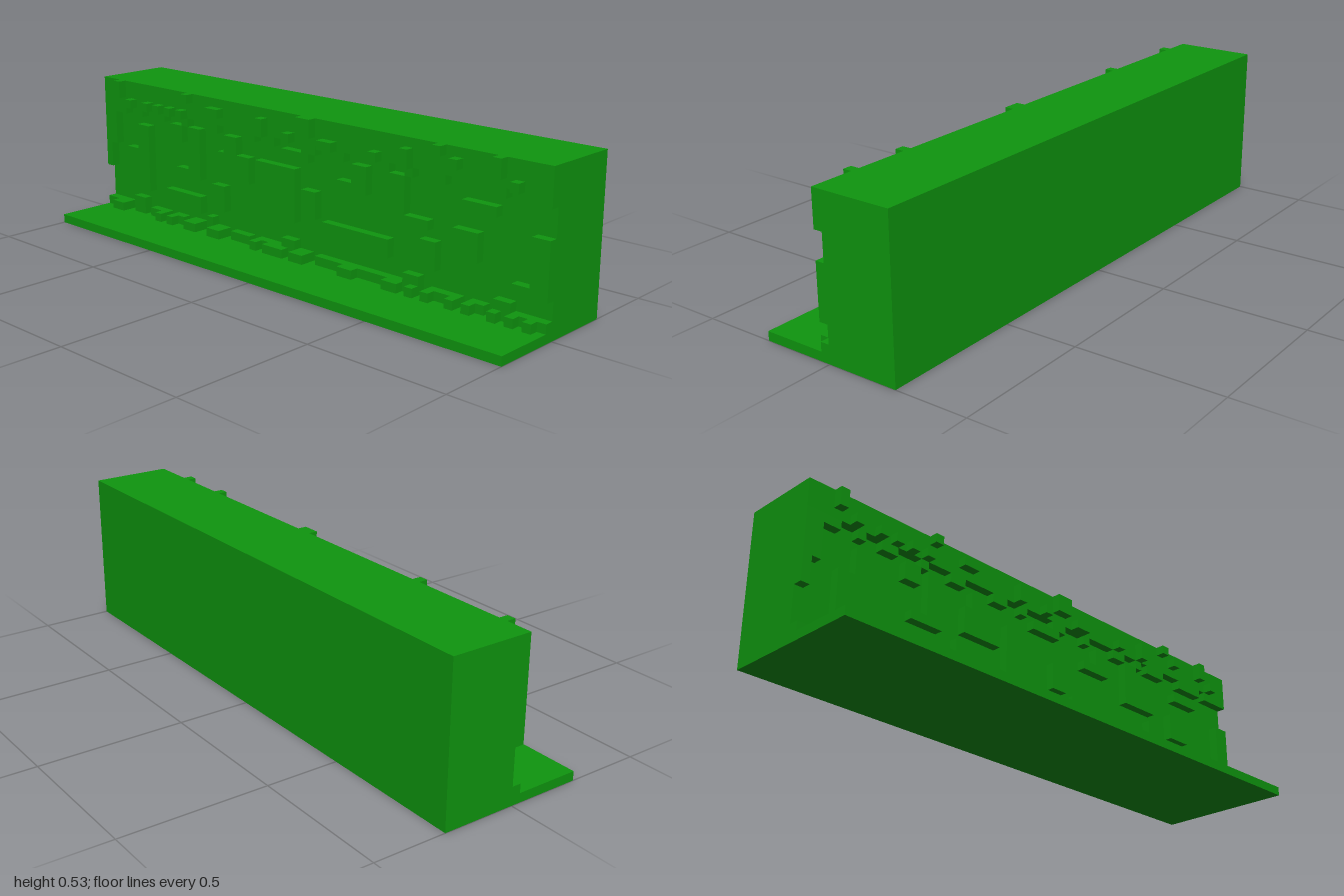
import * as THREE from 'three';

const U = 1 / 32; // one block of the grid: 64 wide, 17 high, 16 deep

export function createModel() {
  const model = new THREE.Group();
  const green = new THREE.MeshStandardMaterial({ color: 0x0f960f });
  green.name = 'leaf green';

  // box between two grid corners; x counts from the right end, z from the middle
  const block = (parent, name, x0, y0, z0, x1, y1, z1) => {
    const mesh = new THREE.Mesh(
      new THREE.BoxGeometry((x1 - x0) * U, (y1 - y0) * U, (z1 - z0) * U), green);
    mesh.position.set(((x0 + x1) / 2 - 32) * U, (y0 + y1) / 2 * U, (z0 + z1) / 2 * U);
    mesh.name = name;
    parent.add(mesh);
  };
  // raised plates on the front, each [x0, y0, x1, y1]
  const relief = (name, z0, z1, rects) => {
    const group = new THREE.Group();
    group.name = name;
    for (const [x0, y0, x1, y1] of rects) block(group, name + 'Block', x0, y0, z0, x1, y1, z1);
    model.add(group);
  };

  // main masses
  block(model, 'groundSlab', 0, 0, -8, 64, 1, 8);
  block(model, 'wall', 0, 1, -8, 64, 17, 0);
  block(model, 'topBand', 0, 14, 0, 64, 17, 1);

  // large stepped patches on the wall
  relief('wallPatch', 0, 1, [
    [0, 9, 2, 14], [0, 6, 1, 9], [4, 4, 8, 9], [6, 9, 8, 12],
    [11, 3, 17, 5], [12, 11, 14, 13], [15, 7, 17, 13], [13, 7, 15, 8],
    [20, 8, 25, 11], [21, 11, 23, 13], [19, 4, 21, 7],
    [26, 5, 32, 11], [30, 12, 34, 13], [33, 6, 35, 9],
    [36, 4, 45, 6], [38, 10, 42, 11], [40, 11, 42, 13],
    [45, 8, 47, 13], [47, 8, 50, 9], [49, 4, 51, 7],
    [53, 6, 56, 9], [54, 11, 58, 12], [60, 4, 64, 5], [62, 5, 64, 10],
  ]);

  // fringe hanging under the top band
  const hang = [[2, 4], [6, 7], [9, 11], [14, 15], [18, 20], [24, 26], [28, 29],
    [33, 35], [38, 39], [43, 45], [47, 48], [49, 52], [55, 59], [60, 64]];
  relief('hangingFringe', 0, 1, hang.map(([a, b]) => [a, 13, b, 14]));

  // small studs on the top band
  relief('topStud', 1, 2, [
    [3, 15, 4, 17], [15, 16, 16, 17], [33, 15, 35, 17], [51, 16, 52, 17], [58, 15, 59, 17],
    [5, 14, 6, 15], [8, 14, 9, 15], [10, 14, 11, 15], [12, 14, 13, 15], [14, 14, 15, 15],
    [19, 15, 21, 16], [27, 14, 28, 16], [31, 14, 32, 15], [36, 14, 38, 15],
    [43, 14, 44, 15], [47, 14, 48, 16], [53, 15, 54, 16], [60, 14, 61, 15],
  ]);

  // tufts along the foot of the wall: a low row behind, pebbles in front
  const foot = [[0, 2], [5, 7], [8, 10], [12, 14], [18, 19], [22, 25], [27, 28], [30, 32],
    [35, 39], [41, 45], [47, 49], [50, 54], [56, 57], [58, 60], [61, 62], [63, 64]];
  relief('footTuft', 0, 1, foot.map(([a, b], i) => [a, 1, b, i % 3 === 1 ? 3 : 2]));
  const pebbles = [[2, 3], [3, 4], [10, 11], [12, 13], [15, 17], [19, 21], [26, 27], [28, 31],
    [32, 34], [39, 41], [45, 47], [48, 49], [50, 51], [53, 54], [55, 56], [58, 59], [60, 61], [62, 63]];
  relief('footPebble', 0, 2, pebbles.map(([a, b]) => [a, 1, b, 2]));

  return model;
}
